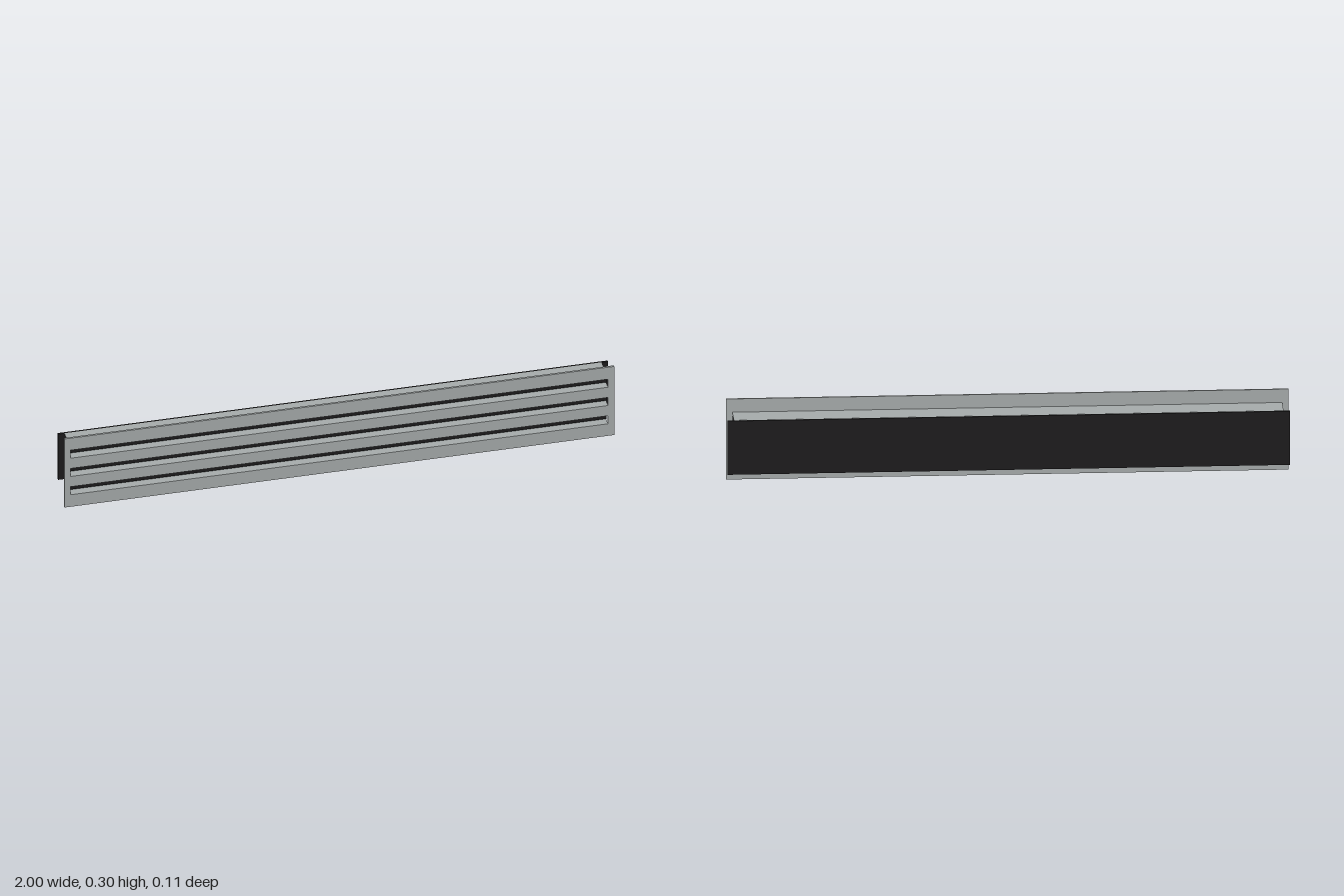
import * as THREE from 'three';

export function createModel() {
  const model = new THREE.Group();
  const aluminium = new THREE.MeshStandardMaterial({ color: 0xa8adad });
  aluminium.name = 'satin aluminium';
  const black = new THREE.MeshStandardMaterial({ color: 0x1d1c1d });
  black.name = 'matt black';

  // Box given by its half length in x and its y and z limits
  function bar(name, halfLength, y0, y1, z0, z1, material) {
    const geometry = new THREE.BoxGeometry(halfLength * 2, y1 - y0, z1 - z0);
    const mesh = new THREE.Mesh(geometry, material);
    mesh.name = name;
    mesh.position.set(0, (y0 + y1) / 2, (z0 + z1) / 2);
    model.add(mesh);
  }

  const slotCentres = [0.07, 0.15, 0.23];
  const slotHalf = 0.0175;
  const halfLength = 0.977;
  const wall = 0.003;
  const plateBack = 0.047;
  const backFront = -0.047;

  // Face plate with three long slots
  const face = new THREE.Shape([
    new THREE.Vector2(-1, 0), new THREE.Vector2(1, 0),
    new THREE.Vector2(1, 0.3), new THREE.Vector2(-1, 0.3),
  ]);
  for (const y of slotCentres) {
    face.holes.push(new THREE.Path([
      new THREE.Vector2(-halfLength, y - slotHalf), new THREE.Vector2(-halfLength, y + slotHalf),
      new THREE.Vector2(halfLength, y + slotHalf), new THREE.Vector2(halfLength, y - slotHalf),
    ]));
  }
  const plate = new THREE.Mesh(
    new THREE.ExtrudeGeometry(face, { depth: 0.007, bevelEnabled: false }), aluminium);
  plate.name = 'facePlate';
  plate.position.z = plateBack;
  model.add(plate);

  // Black backing board
  bar('backBoard', 1, 0.05, 0.25, -0.054, backFront, black);

  // Walls above and below each slot, and the black blade inside it
  for (const y of slotCentres) {
    bar('slotFloor', halfLength, y - slotHalf - wall, y - slotHalf, backFront, plateBack, aluminium);
    bar('slotCeiling', halfLength, y + slotHalf, y + slotHalf + wall, backFront, plateBack, aluminium);
    bar('deflectorBlade', halfLength, y - 0.011, y + 0.011, 0.025, 0.032, black);
  }

  // Channel webs behind the plate between neighbouring slots
  for (const y of [0.11, 0.19]) {
    bar('channelWeb', halfLength, y - 0.0195, y + 0.0195, 0.043, plateBack, aluminium);
  }
  return model;
}
